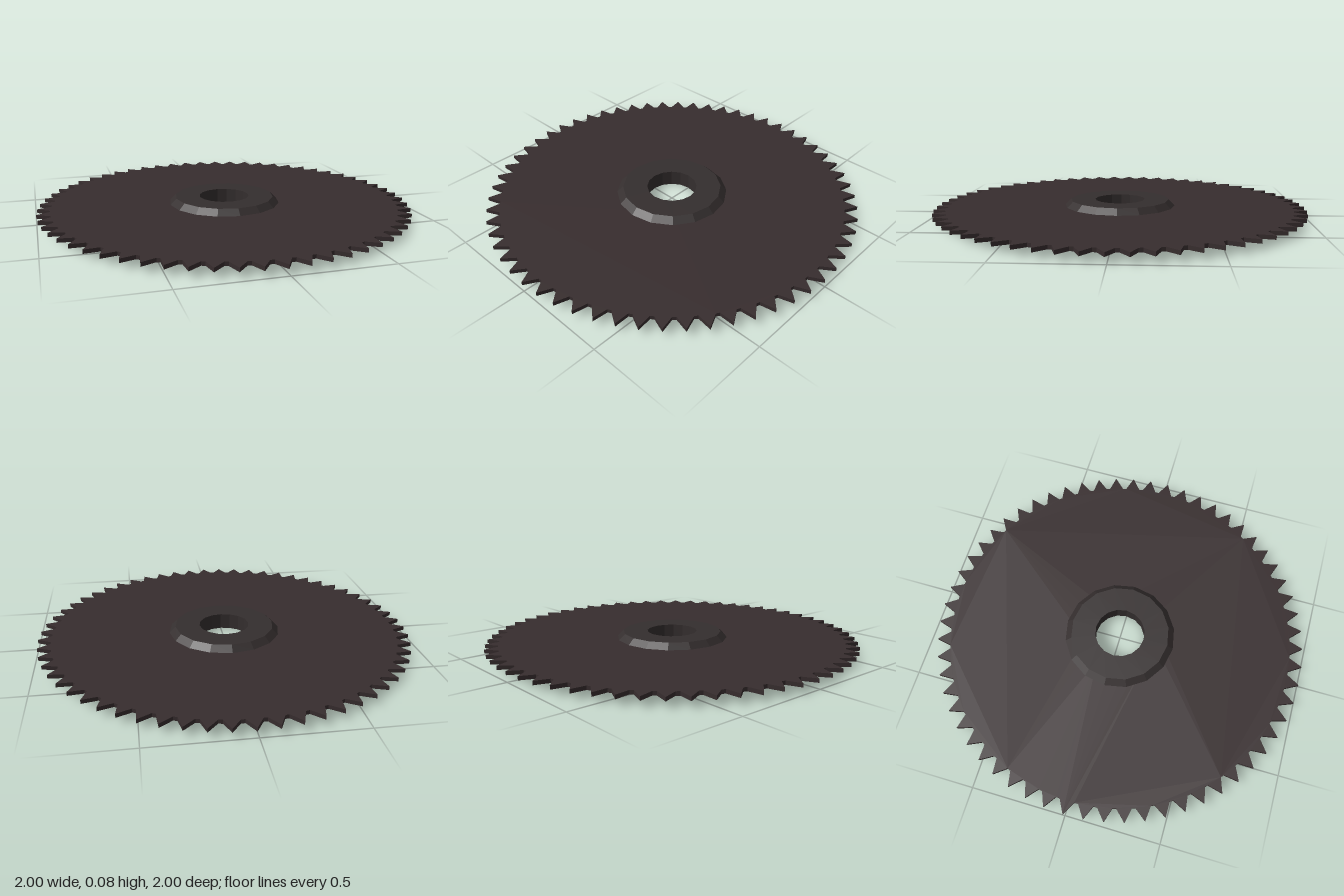
import * as THREE from 'three';

const TEETH = 60, MID = 0.042, HALF_BLADE = 0.01;

// Point at a clockwise angle from the back
const polar = (radius, angle) =>
  new THREE.Vector2(radius * Math.sin(angle), radius * Math.cos(angle));

export function createModel() {
  const group = new THREE.Group();
  group.name = 'circularSawBlade';

  const bladeSteel = new THREE.MeshStandardMaterial({ color: 0x372d2e, flatShading: true });
  bladeSteel.name = 'dark blade steel';
  const hubSteel = new THREE.MeshStandardMaterial({ color: 0x342e2e, flatShading: true });
  hubSteel.name = 'dark hub steel';

  // Toothed disc: each tooth is a pointed triangle with a short flat gullet
  const pitch = (Math.PI * 2) / TEETH;
  const outline = [];
  for (let i = 0; i < TEETH; i++) {
    const a = i * pitch + 0.009;
    outline.push(polar(0.93, a - pitch * 0.4), polar(1, a), polar(0.93, a + pitch * 0.4));
  }
  const disc = new THREE.Shape(outline);
  const bore = new THREE.Path();
  bore.absarc(0, 0, 0.2, 0, Math.PI * 2, true);
  disc.holes.push(bore);
  const bladeGeometry = new THREE.ExtrudeGeometry(disc, {
    depth: HALF_BLADE * 2, bevelEnabled: false, curveSegments: 8,
  });
  bladeGeometry.translate(0, 0, -HALF_BLADE);
  bladeGeometry.rotateX(-Math.PI / 2);
  const blade = new THREE.Mesh(bladeGeometry, bladeSteel);
  blade.name = 'toothedBlade';
  blade.position.y = MID;
  group.add(blade);

  // Bevelled hub ring with the arbor hole
  const profile = [
    [0.135, -MID], [0.267, -MID], [0.3, -HALF_BLADE],
    [0.3, HALF_BLADE], [0.267, MID], [0.135, MID], [0.135, -MID],
  ].map(([x, y]) => new THREE.Vector2(x, y));
  const hub = new THREE.Mesh(new THREE.LatheGeometry(profile, 16), hubSteel);
  hub.name = 'hub';
  hub.position.y = MID;
  group.add(hub);

  return group;
}
